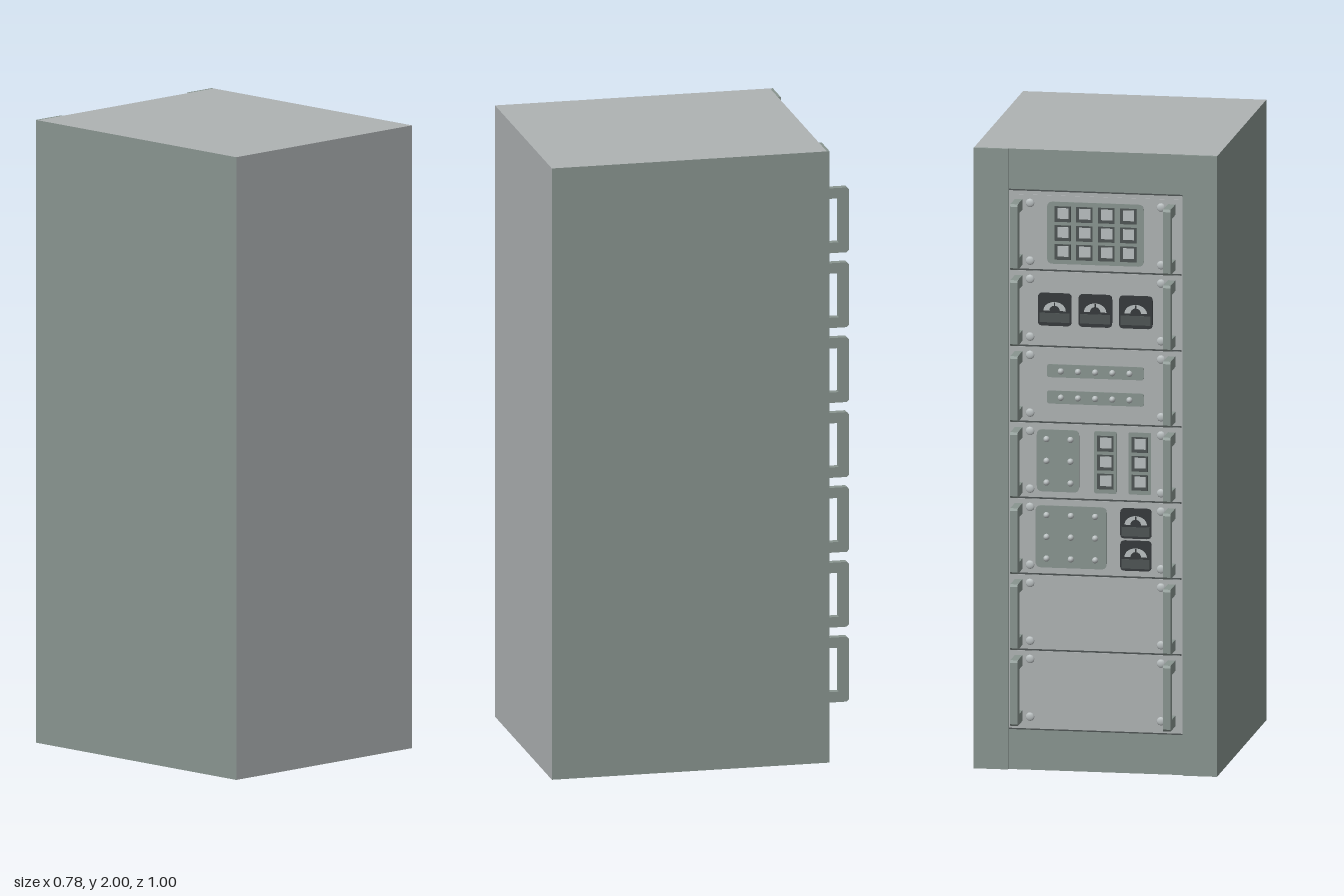
import * as THREE from 'three';

const mat = (name, color, extra) => {
  const m = new THREE.MeshStandardMaterial({ color });
  m.name = name;
  return Object.assign(m, extra);
};

export function createModel() {
  const grey = mat('light grey panel', 0xaeb2b3);
  const green = mat('grey green paint', 0x88948f);
  const black = mat('black meter', 0x34383a);
  const dark = mat('dark grey trim', 0x4d5453);
  const pale = mat('pale grey', 0xb9bfc0);

  const model = new THREE.Group();
  model.name = 'equipmentRack';

  const add = (parent, name, geo, material, x = 0, y = 0, z = 0) => {
    const m = new THREE.Mesh(geo, material);
    m.name = name;
    m.position.set(x, y, z);
    parent.add(m);
    return m;
  };
  const box = (w, h, d) => new THREE.BoxGeometry(w, h, d);

  // Rounded plate lying on z = 0 and facing +z
  const plate = (w, h, d, r) => {
    const a = w / 2, b = h / 2, s = new THREE.Shape();
    s.moveTo(-a + r, -b);
    s.lineTo(a - r, -b).quadraticCurveTo(a, -b, a, -b + r);
    s.lineTo(a, b - r).quadraticCurveTo(a, b, a - r, b);
    s.lineTo(-a + r, b).quadraticCurveTo(-a, b, -a, b - r);
    s.lineTo(-a, -b + r).quadraticCurveTo(-a, -b, -a + r, -b);
    return new THREE.ExtrudeGeometry(s, { depth: d, bevelEnabled: false, curveSegments: 4 });
  };

  // Cabinet: painted sides and rear frame, grey elsewhere
  add(model, 'cabinet', box(0.78, 2, 0.892), [green, green, grey, grey, grey, green], 0, 1, 0.049);

  // The equipment faces -z, so it is laid out facing +z and turned round
  const rack = new THREE.Group();
  rack.name = 'equipmentFace';
  rack.rotation.y = Math.PI;
  model.add(rack);

  for (const s of [-1, 1]) {
    add(rack, 'sideStrip', box(0.11, 2, 0.009), green, s * 0.335, 1, 0.4015);
  }
  add(rack, 'backingPlate', box(0.556, 1.74, 0.002), grey, 0, 1, 0.3975);
  for (const y of [0.1315, 1.8685]) {
    add(rack, 'openingEdge', box(0.556, 0.004, 0.004), dark, 0, y, 0.398);
  }

  // Handle profile in the z-y plane, extruded across x
  const hs = new THREE.Shape();
  const c = 0.007;
  hs.moveTo(0.408, -0.106);
  hs.lineTo(0.5 - c, -0.106).lineTo(0.5, -0.106 + c);
  hs.lineTo(0.5, 0.106 - c).lineTo(0.5 - c, 0.106);
  hs.lineTo(0.408, 0.106).lineTo(0.408, 0.072);
  hs.lineTo(0.467, 0.072).lineTo(0.467, -0.072).lineTo(0.408, -0.072);
  const handleGeo = new THREE.ExtrudeGeometry(hs, { depth: 0.024, bevelEnabled: false });
  handleGeo.rotateY(-Math.PI / 2);
  handleGeo.translate(0.012, 0, 0);

  const screwGeo = new THREE.SphereGeometry(0.014, 12, 4, 0, Math.PI * 2, 0, Math.PI / 2);
  screwGeo.rotateX(Math.PI / 2).scale(1, 1, 0.4);
  const lampGeo = new THREE.SphereGeometry(0.01, 12, 8);
  const panelGeo = box(0.55, 0.239, 0.004);

  // Raised square key in a dark surround
  const key = (p, x, y) => {
    add(p, 'keySurround', box(0.052, 0.05, 0.004), dark, x, y, 0.405);
    add(p, 'keyCap', box(0.036, 0.034, 0.005), pale, x + 0.002, y + 0.003, 0.407);
  };

  // Dial meter with a half-round window, needle and lower cover
  const meter = (p, x, y, w = 0.107, h = 0.105) => {
    const g = new THREE.Group();
    g.name = 'meter';
    g.position.set(x, y, 0.4);
    p.add(g);
    add(g, 'meterBody', plate(w, h, 0.008, 0.014), black);
    const dial = new THREE.CircleGeometry(0.036, 16, 0, Math.PI);
    add(g, 'meterDial', dial, pale, 0, -0.004, 0.0086).scale.y = 0.8;
    const hub = new THREE.CircleGeometry(0.017, 12, 0, Math.PI);
    add(g, 'meterHub', hub, black, 0, -0.004, 0.0092);
    add(g, 'meterNeedle', box(0.004, 0.026, 0.001), black, 0, 0.01, 0.0094);
    add(g, 'meterCover', box(w * 0.9, 0.03, 0.004), dark, 0, -0.026, 0.008);
  };

  const lamps = (p, xs, ys) => {
    for (const x of xs) for (const y of ys) add(p, 'lamp', lampGeo, pale, x, y, 0.409);
  };
  const subPlate = (p, name, x, y, w, h, r = 0.018) =>
    add(p, name, plate(w, h, 0.004, r), green, x, y, 0.4);

  // Contents of each unit, top to bottom; the last two are blank
  const contents = [
    (p) => {
      subPlate(p, 'keypadPlate', 0, 0, 0.31, 0.2);
      for (const x of [-0.105, -0.035, 0.035, 0.105]) {
        for (const y of [-0.061, 0, 0.061]) key(p, x, y);
      }
    },
    (p) => [-0.13, 0, 0.13].forEach((x) => meter(p, x, -0.002)),
    (p) => {
      for (const y of [0.045, -0.04]) {
        subPlate(p, 'lampStrip', 0, y, 0.31, 0.042, 0.008);
        lamps(p, [-0.11, -0.055, 0, 0.055, 0.11], [y]);
      }
    },
    (p) => {
      subPlate(p, 'lampPlate', -0.12, 0, 0.136, 0.2);
      lamps(p, [-0.156, -0.079], [-0.07, 0, 0.07]);
      for (const x of [0.032, 0.142]) {
        subPlate(p, 'switchPlate', x, 0, 0.072, 0.2, 0.006);
        for (const y of [-0.061, 0, 0.061]) key(p, x, y);
      }
    },
    (p) => {
      subPlate(p, 'lampPlate', -0.078, 0, 0.228, 0.2);
      lamps(p, [-0.156, -0.078, 0], [-0.07, 0, 0.07]);
      for (const y of [0.052, -0.052]) meter(p, 0.13, y, 0.1, 0.097);
    },
  ];

  for (let i = 0; i < 7; i++) {
    const unit = new THREE.Group();
    unit.name = 'rackUnit' + (i + 1);
    unit.position.y = 1.735 - 0.245 * i;
    rack.add(unit);
    add(unit, 'unitPanel', panelGeo, grey, 0, 0, 0.399);
    if (i < 6) add(unit, 'unitGap', box(0.55, 0.005, 0.002), dark, 0, -0.1225, 0.3985);
    for (const s of [-1, 1]) {
      add(unit, 'handle', handleGeo, green, s * 0.245, 0, 0);
      for (const y of [-0.093, 0.093]) add(unit, 'screw', screwGeo, pale, s * 0.21, y, 0.401);
    }
    if (contents[i]) contents[i](unit);
  }
  return model;
}
